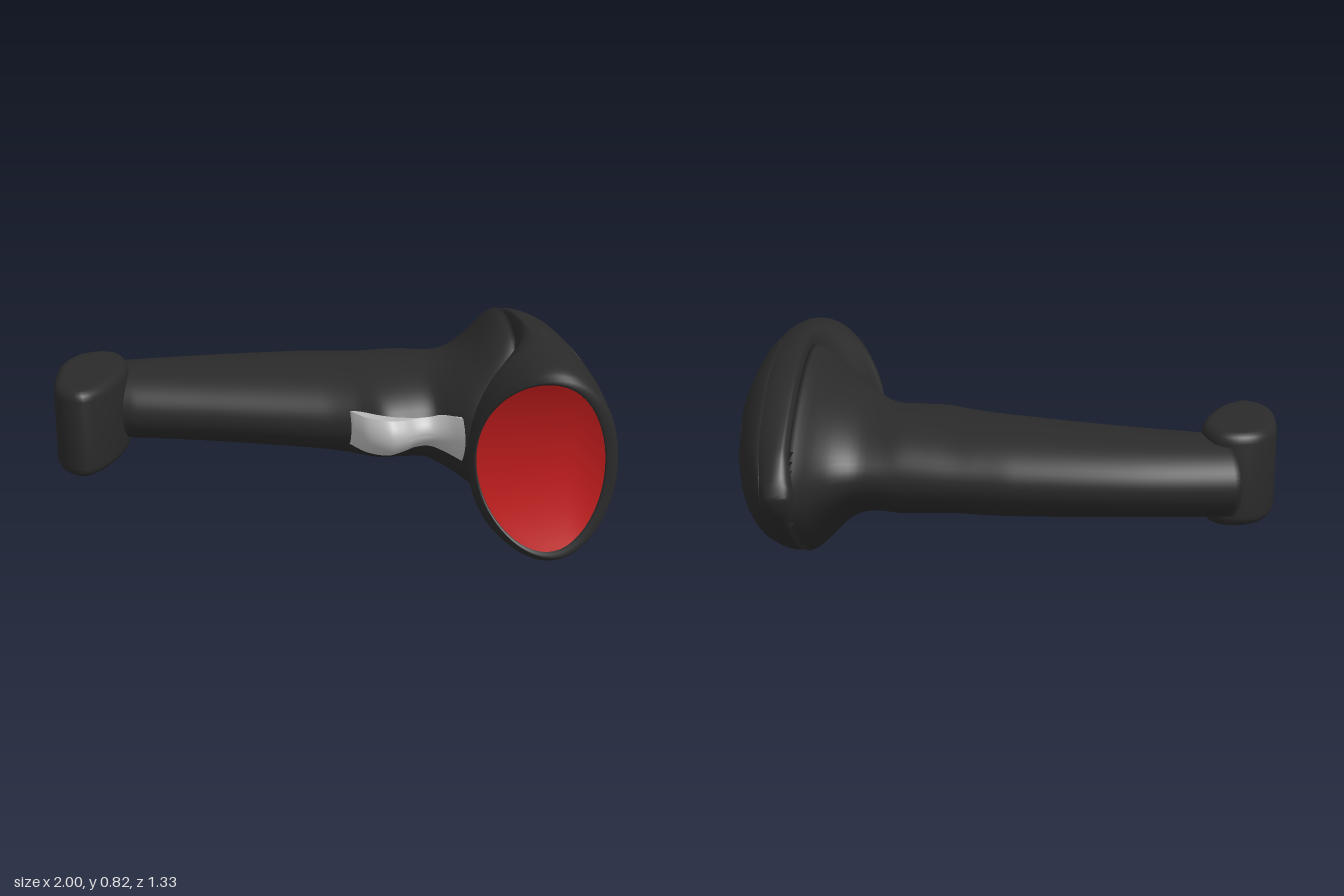
import * as THREE from 'three';
import { toCreasedNormals } from 'three/addons/utils/BufferGeometryUtils.js';

const CY = 0.41; // height of the symmetry plane
const paint = (color) => new THREE.MeshStandardMaterial({ color, side: THREE.DoubleSide });
const DARK = paint(0x2a2a2a), RED = paint(0xc81e1e), GREY = paint(0xb8b8b8);

// Smooth lookup in a table of rows whose first column is the key
function sample(rows, k) {
  let i = 0;
  while (i < rows.length - 2 && k > rows[i + 1][0]) i++;
  const a = rows[i], b = rows[i + 1], w = b[0] - a[0];
  const p = rows[Math.max(0, i - 1)], q = rows[Math.min(rows.length - 1, i + 2)];
  const t = THREE.MathUtils.clamp((k - a[0]) / w, 0, 1), t2 = t * t, t3 = t2 * t;
  return a.map((v, c) => {
    const ma = (b[c] - p[c]) / (b[0] - p[0]) * w, mb = (q[c] - v) / (q[0] - a[0]) * w;
    return (2 * t3 - 3 * t2 + 1) * v + (t3 - 2 * t2 + t) * ma + (3 * t2 - 2 * t3) * b[c] + (t3 - t2) * mb;
  });
}

// Skin over closed rings of [x, y, z] points, with optional end caps
function loft(rings, capStart = false, capEnd = false) {
  const n = rings[0].length, pos = rings.flat(2), idx = [];
  for (let i = 0; i < rings.length - 1; i++) for (let j = 0; j < n; j++) {
    const a = i * n + j, b = i * n + (j + 1) % n;
    idx.push(a, b, a + n, b, b + n, a + n);
  }
  const cap = (r, flip) => {
    const c = pos.length / 3, ring = rings[r];
    pos.push(...[0, 1, 2].map((k) => ring.reduce((s, p) => s + p[k], 0) / n));
    for (let j = 0; j < n; j++) {
      const a = r * n + j, b = r * n + (j + 1) % n;
      idx.push(...(flip ? [b, a, c] : [a, b, c]));
    }
  };
  if (capStart) cap(0, true);
  if (capEnd) cap(rings.length - 1, false);
  const g = new THREE.BufferGeometry();
  g.setAttribute('position', new THREE.Float32BufferAttribute(pos, 3));
  g.setIndex(idx);
  g.computeVertexNormals();
  return g;
}

const steps = (n, a, b) => Array.from({ length: n + 1 }, (_, i) => a + (b - a) * i / n);
const turn = (n) => Array.from({ length: n }, (_, i) => i / n * Math.PI * 2);

// Head sections along z: z, half height, left x, centre x, right x
const HEAD = [
  [-0.65, 0.015, 0.785, 0.815, 0.85], [-0.64, 0.045, 0.775, 0.815, 0.862],
  [-0.6, 0.1, 0.765, 0.81, 0.88], [-0.55, 0.15, 0.76, 0.805, 0.9],
  [-0.4, 0.245, 0.745, 0.79, 0.95], [-0.2, 0.345, 0.73, 0.77, 0.982],
  [0, 0.395, 0.71, 0.75, 0.996], [0.1, 0.405, 0.7, 0.74, 0.994],
  [0.17, 0.41, 0.68, 0.735, 0.991], [0.27, 0.41, 0.62, 0.73, 0.986],
  [0.37, 0.406, 0.5, 0.725, 0.982], [0.42, 0.402, 0.455, 0.72, 0.98],
  [0.52, 0.392, 0.45, 0.715, 0.965], [0.6, 0.378, 0.452, 0.705, 0.95],
  [0.64, 0.362, 0.455, 0.7, 0.943], [0.66, 0.345, 0.46, 0.7, 0.93],
];
// The mouth sweeps back toward the handle side
const mouthZ = (x) => 0.66 - 2.08 * Math.max(0, 0.78 - x) ** 2;
const windowRing = (s, depth) => turn(72).map((a) => {
  const x = 0.68 + 0.21 * s * Math.cos(a);
  return [x, CY + 0.325 * s * Math.sin(a), mouthZ(x) - depth];
});

function headShell() {
  const rings = steps(90, -0.65, 0.66).map((z) => {
    const [, h, xl, xc, xr] = sample(HEAD, z);
    return turn(72).map((a) => {
      const c = Math.cos(a), y = h * Math.sin(a);
      let x = xc + c * (c > 0 ? xr - xc : xc - xl);
      const zz = z > 0.4 ? 0.4 + (z - 0.4) * (mouthZ(x) - 0.4) / 0.26 : z;
      // sunk under the display opening
      if (c > 0) x -= 0.06 * (1 - THREE.MathUtils.smoothstep(Math.hypot(z + 0.11, y), 0.16, 0.26));
      return [x, CY + y, zz];
    });
  });
  rings.push(windowRing(1.02, 0), windowRing(1, 0.012));
  return loft(rings, true);
}

// Domed panel on the outer face, with a rectangular opening
function facePanel() {
  const half = [[0.42, 0], [0.41, 0.15], [0.37, 0.28], [0.28, 0.355], [0.15, 0.375], [0, 0.36],
    [-0.2, 0.305], [-0.4, 0.2], [-0.52, 0.11], [-0.585, 0.045], [-0.6, 0]];
  const pts = [...half.map(([z, y]) => [z, -y]), ...half.slice(1, -1).reverse()];
  const curve = new THREE.CatmullRomCurve3(pts.map(([z, y]) => new THREE.Vector3(0, y, z)), true);
  const outline = curve.getSpacedPoints(144).slice(0, 144);
  const ring = (s, lift) => outline.map((p) => {
    const dz = p.z + 0.1125, k = 1 / Math.max(Math.abs(dz) / 0.0825, Math.abs(p.y) / 0.13);
    const f = k + (1 - k) * s, z = -0.1125 + dz * f, y = p.y * f;
    const [, h, , xc, xr] = sample(HEAD, z);
    return [xc + (xr - xc) * Math.sqrt(Math.max(0, 1 - (y / h) ** 2)) + lift, CY + y, z];
  });
  const rings = [ring(1, -0.02), ring(0.995, 0.002), ...steps(14, 0.97, 0).map((s) => ring(s, 0.005)), ring(0, -0.05)];
  return toCreasedNormals(loft(rings), 0.7);
}

// Handle and flared neck: x, back z, front z, half height, egg shape and tilt
const BODY = [
  [-0.77, -0.665, -0.25, 0.142, 0, 0], [-0.4, -0.645, -0.12, 0.155, 0, 0],
  [0, -0.59, 0.04, 0.172, 0, 0], [0.12, -0.563, 0.11, 0.177, 0, 0],
  [0.2, -0.545, 0.18, 0.18, 0, 0], [0.3, -0.523, 0.185, 0.185, 0, 0],
  [0.4, -0.5, 0.2, 0.19, 0, 0], [0.46, -0.483, 0.27, 0.2, 0.1, 0.3],
  [0.52, -0.47, 0.32, 0.225, 0.2, 0.7], [0.58, -0.49, 0.34, 0.265, 0.25, 1],
  [0.64, -0.535, 0.34, 0.32, 0.33, 1], [0.69, -0.59, 0.34, 0.36, 0.35, 1],
  [0.72, -0.615, 0.34, 0.37, 0.35, 1],
];
function body() {
  return loft(steps(90, -0.77, 0.72).map((k) => {
    const [x, zb, zf, h, egg, tilt] = sample(BODY, k);
    return turn(56).map((a) => {
      const c = Math.cos(a), z = (zb + zf) / 2 + (zf - zb) / 2 * c;
      const slant = x < -0.7 ? (z + 0.45) * 0.11 * (-0.7 - x) / 0.07 : 0;
      return [x - 0.11 * z * tilt + slant, CY - h * Math.sin(a) * (1 + egg * c), z];
    });
  }), true, true);
}

// Finger trigger: x, front z, half width
const TRIGGER = [[0.09, 0.1, 0.068], [0.13, 0.185, 0.07], [0.2, 0.24, 0.07], [0.26, 0.235, 0.063],
  [0.32, 0.21, 0.058], [0.38, 0.21, 0.06], [0.43, 0.25, 0.075], [0.47, 0.32, 0.085]];
function trigger() {
  const rings = steps(40, 0.09, 0.47).map((k) => {
    const [x, z, w] = sample(TRIGGER, k);
    const face = steps(12, 1, -1).map((u) => [x, CY + w * u, z - 0.035 * u * u]);
    return [[x, CY + w, z - 0.1], ...face, [x, CY - w, z - 0.1]].reverse();
  });
  return toCreasedNormals(loft(rings.map((r) => r.slice().reverse()), true, true), 0.7);
}

// Rounded foot at the end of the handle
function foot() {
  const pts = [[-0.97, -0.1], [-0.91, -0.06], [-0.83, -0.11], [-0.74, -0.25], [-0.695, -0.41], [-0.72, -0.52],
    [-0.79, -0.555], [-0.88, -0.535], [-0.95, -0.45], [-0.99, -0.3], [-1, -0.18]];
  const curve = new THREE.CatmullRomCurve3(pts.map(([x, z]) => new THREE.Vector3(x, -z, 0)), true);
  const shape = new THREE.Shape(curve.getSpacedPoints(64).slice(0, 64).map((p) => new THREE.Vector2(p.x, p.y)));
  const g = new THREE.ExtrudeGeometry(shape, {
    depth: 0.27, bevelThickness: 0.04, bevelSize: 0.04, bevelOffset: -0.04, bevelSegments: 5,
  });
  g.rotateX(-Math.PI / 2).translate(0, CY + 0.005 - 0.135, 0);
  return toCreasedNormals(g, 0.6);
}

export function createModel() {
  const group = new THREE.Group();
  const add = (name, geometry, material) => {
    const m = new THREE.Mesh(geometry, material);
    m.name = name;
    group.add(m);
    return m;
  };
  add('headShell', headShell(), DARK);
  add('facePanel', facePanel(), DARK);
  add('handle', body(), DARK);
  add('handleFoot', foot(), DARK);
  add('trigger', trigger(), GREY);
  // concave scan window
  add('scanWindow', loft(steps(12, 1, 0.02).map((s) => windowRing(s, 0.012 + 0.08 * (1 - s * s))), false, true), RED);
  add('display', new THREE.BoxGeometry(0.06, 0.26, 0.165), GREY).position.set(0.938, CY, -0.1125);
  return group;
}
